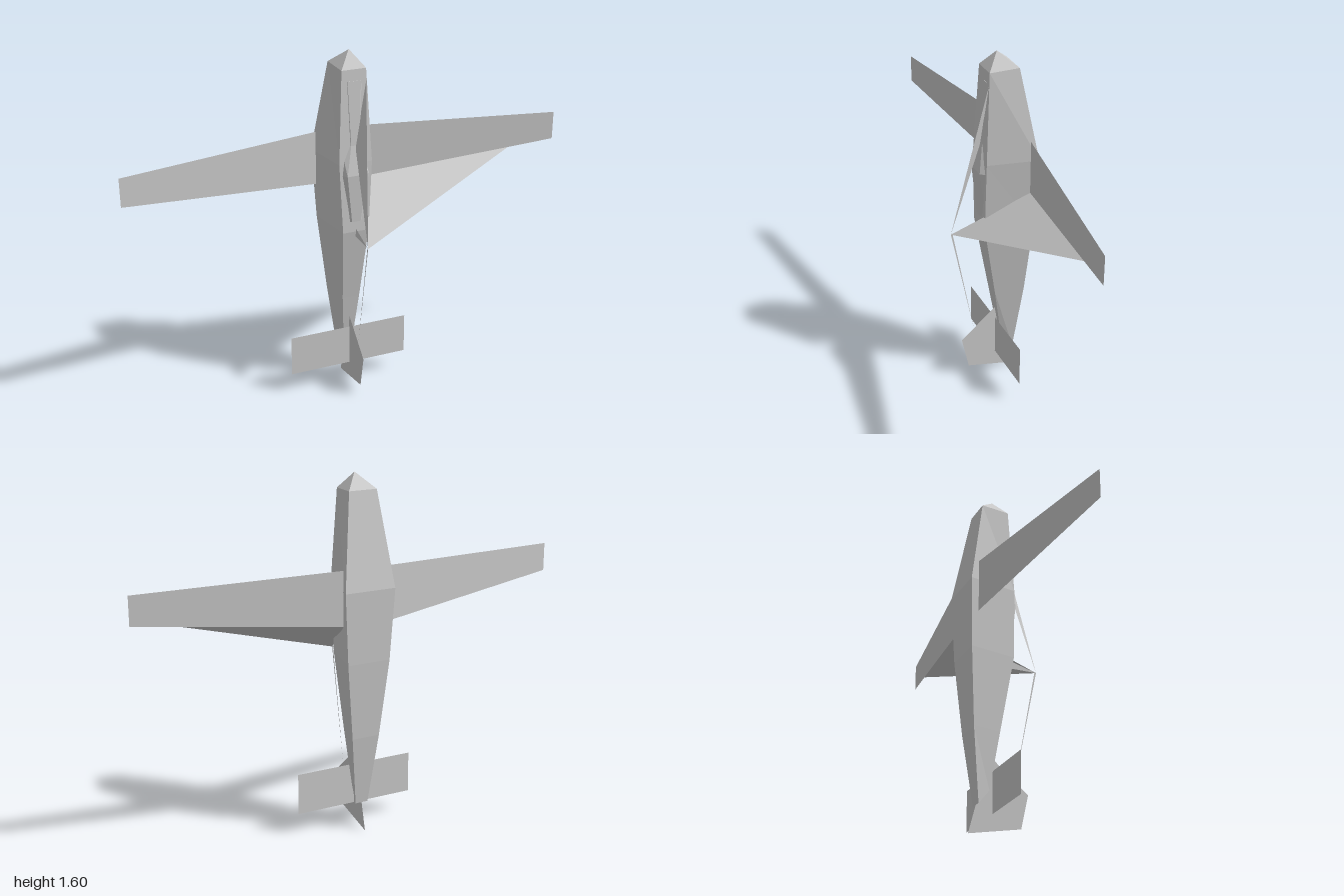
import * as THREE from 'three';

const mat = new THREE.MeshStandardMaterial({ color: 0xcccccc, flatShading: true, side: THREE.DoubleSide });

function build(name, points, index) {
  const g = new THREE.BufferGeometry();
  g.setAttribute('position', new THREE.Float32BufferAttribute(points.flat(), 3));
  g.setIndex(index);
  const flat = g.toNonIndexed();
  flat.computeVertexNormals();
  const mesh = new THREE.Mesh(flat, mat);
  mesh.name = name;
  return mesh;
}

// Thin convex sheet as a fan from its first corner
function sheet(name, points) {
  const index = [];
  for (let i = 1; i < points.length - 1; i++) index.push(0, i, i + 1);
  return build(name, points, index);
}

// Skin over rings of equal size listed from nose to tail, closed at both ends
function loft(name, rings) {
  const n = rings[0].length, index = [];
  for (let r = 0; r < rings.length - 1; r++) {
    for (let i = 0; i < n; i++) {
      const a = r * n + i, b = r * n + (i + 1) % n;
      index.push(a, a + n, b, b, a + n, b + n);
    }
  }
  const last = (rings.length - 1) * n;
  for (let i = 1; i < n - 1; i++) index.push(0, i, i + 1, last, last + i + 1, last + i);
  return build(name, rings.flat(), index);
}

export function createModel() {
  const plane = new THREE.Group();
  plane.name = 'airplane';

  // Fuselage: narrow upper deck facing +z, wide flat belly facing -z
  // front y, z, half width; back y, z, half width
  const sections = [
    [1.6, -0.035, 0.001, 1.6, -0.035, 0.001],
    [1.53, 0.02, 0.055, 1.535, -0.11, 0.065],
    [1.12, 0.042, 0.075, 1.12, -0.182, 0.118],
    [0.8, 0.045, 0.06, 0.8, -0.17, 0.1],
    [0.45, -0.012, 0.04, 0.45, -0.143, 0.065],
    [0.19, -0.052, 0.02, 0.125, -0.105, 0.03],
  ];
  plane.add(loft('fuselage', sections.map(([fy, fz, fw, by, bz, bw]) =>
    [[fw, fy, fz], [-fw, fy, fz], [-bw, by, bz], [bw, by, bz]])));

  // Canopy: y, half width, top half width, top z, base z
  const canopy = [
    [1.48, 0.045, 0.03, 0.024, 0.01],
    [1.2, 0.06, 0.02, 0.04, 0.02],
    [1.07, 0.07, 0.045, 0.062, 0.03],
    [0.85, 0.045, 0.02, 0.05, 0.03],
  ];
  plane.add(loft('canopy', canopy.map(([y, w, t, z, b]) =>
    [[t, y, z], [-t, y, z], [-w, y, b], [w, y, b]])));

  // Wings rise toward +z at the tips
  for (const [name, s] of [['leftWing', 1], ['rightWing', -1]]) {
    plane.add(sheet(name, [
      [s * 0.11, 1.212, -0.145], [s, 1.188, -0.022],
      [s, 1.06, -0.022], [s * 0.11, 0.968, -0.145],
    ]));
  }

  // Loose panels meeting at the top of the mast
  const mastTop = [0, 0.776, 0.18];
  plane.add(sheet('wingPanel', [[0.11, 0.968, -0.145], [0.79, 1.038, -0.052], mastTop]));
  plane.add(sheet('canopyPanel', [[0.055, 1.48, 0.022], [0, 1.22, 0.03], mastTop]));

  // Antenna mast and wire
  plane.add(sheet('mast', [mastTop, [0, 0.815, 0.04], [0, 0.775, 0.04]]));
  plane.add(sheet('antennaWire', [mastTop, [0, 0.776, 0.172], [0, 0.25, 0.075]]));

  // Tail surfaces
  plane.add(sheet('tailplane', [
    [-0.283, 0.283, -0.03], [0.276, 0.283, -0.03], [0.276, 0.095, -0.03], [-0.283, 0.095, -0.03],
  ]));
  plane.add(sheet('tailFin', [
    [0, 0.19, -0.052], [0, 0.34, -0.03], [0, 0.2, 0.135],
    [0, 0.047, 0.102], [0, 0.0, -0.138], [0, 0.125, -0.105],
  ]));
  return plane;
}
